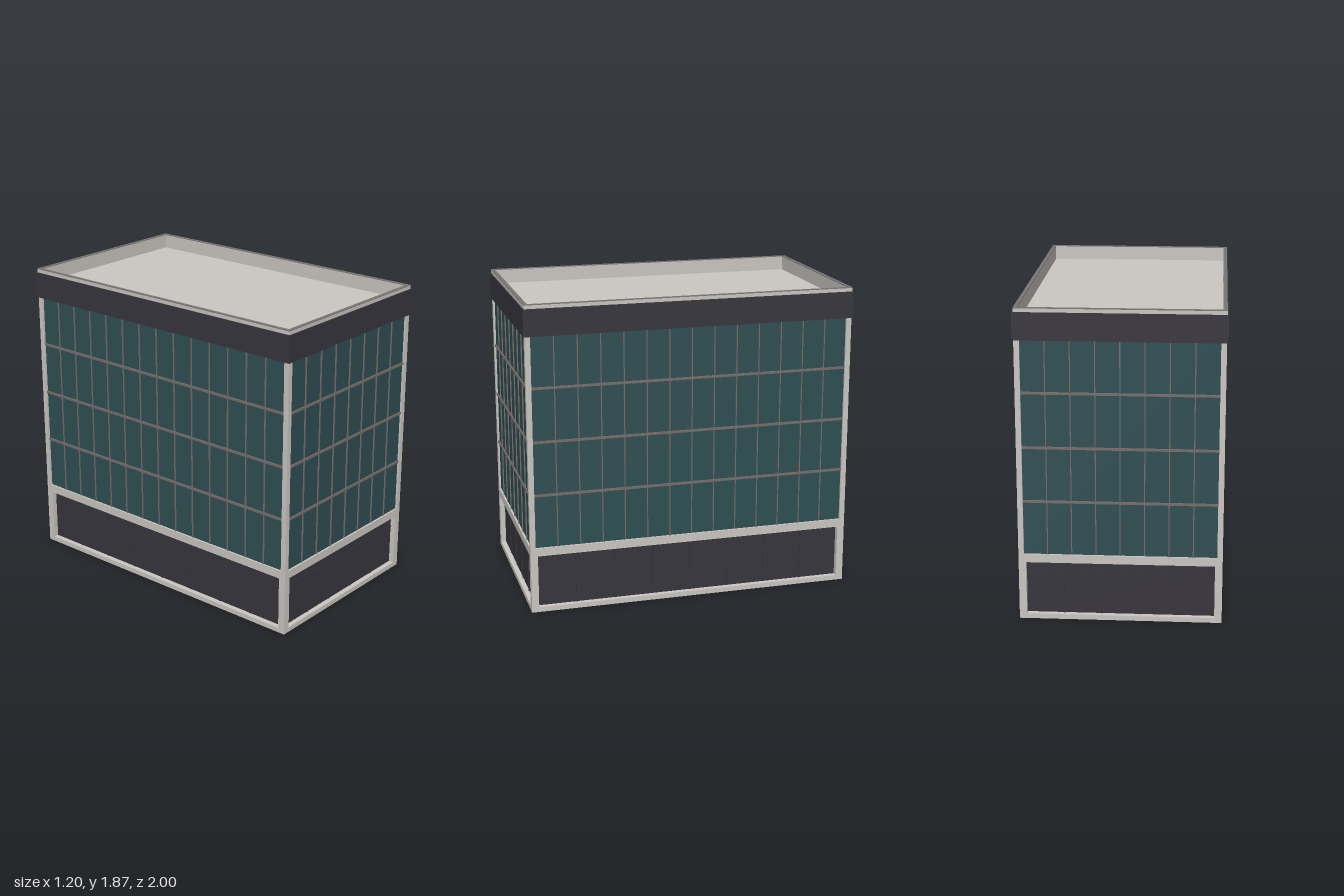
import * as THREE from 'three';

const mat = (name, color) => Object.assign(new THREE.MeshStandardMaterial({ color }), { name });

export function createModel() {
  const concrete = mat('concrete', 0xcac6c1);
  const charcoal = mat('charcoal panel', 0x37353d);
  const glass = mat('teal glass', 0x2e4e52);
  const bronze = mat('bronze mullion', 0x776d6a);
  const coping = mat('grey coping', 0x777674);

  const building = new THREE.Group();
  building.name = 'officeBuilding';

  // Box given by its size and centre
  const box = (parent, name, material, w, h, d, x, y, z) => {
    const mesh = new THREE.Mesh(new THREE.BoxGeometry(w, h, d), material);
    mesh.position.set(x, y, z);
    mesh.name = name;
    parent.add(mesh);
    return mesh;
  };

  const HX = 0.594, HZ = 0.992;      // half extents of the concrete body
  const BASE = 0.405, EAVE = 1.69, ROOF = 1.78, TOP = 1.87;

  // One wall facing +z: half width hw, outer face at z = d
  const makeWall = (name, hw, d, bays, shopBays) => {
    const wall = new THREE.Group();
    wall.name = name;

    // Ground floor frame with one wide opening
    const ow = hw - 0.044, lo = 0.03, hi = 0.355;
    const shape = new THREE.Shape([
      new THREE.Vector2(-hw, 0), new THREE.Vector2(hw, 0),
      new THREE.Vector2(hw, BASE), new THREE.Vector2(-hw, BASE),
    ]);
    shape.holes.push(new THREE.Path([
      new THREE.Vector2(-ow, lo), new THREE.Vector2(-ow, hi),
      new THREE.Vector2(ow, hi), new THREE.Vector2(ow, lo),
    ]));
    const frame = new THREE.Mesh(
      new THREE.ExtrudeGeometry(shape, { depth: 0.032, bevelEnabled: false }), concrete);
    frame.position.z = d - 0.032;
    frame.name = 'baseFrame';
    wall.add(frame);

    // Recessed dark shopfront with slim bars
    box(wall, 'shopfront', charcoal, 2 * hw - 0.066, 0.38, 0.008, 0, 0.195, d - 0.036);
    for (let i = 1; i < shopBays; i++) {
      const x = -ow + (2 * ow * i) / shopBays;
      box(wall, 'shopfrontBar', charcoal, 0.008, hi - lo, 0.006, x, (lo + hi) / 2, d - 0.03);
    }
    box(wall, 'shopfrontTransom', charcoal, 2 * ow, 0.008, 0.006, 0, 0.28, d - 0.03);

    // Curtain wall glass
    const gw = hw - 0.03;
    box(wall, 'glass', glass, 2 * gw, EAVE - BASE + 0.04, 0.01, 0, (EAVE + BASE) / 2, d - 0.017);

    // Mullions and floor lines
    for (let i = 1; i < bays; i++) {
      const x = -gw + (2 * gw * i) / bays;
      box(wall, 'mullion', bronze, 0.006, EAVE - BASE, 0.008, x, (EAVE + BASE) / 2, d - 0.009);
    }
    for (const y of [0.73, 1.055, 1.378]) {
      box(wall, 'floorLine', bronze, 2 * gw, 0.014, 0.01, 0, y, d - 0.008);
    }

    // Parapet, fascia band and coping strip
    box(wall, 'parapet', concrete, 2 * hw, TOP - 0.004 - EAVE, 0.022, 0, (TOP - 0.004 + EAVE) / 2, d - 0.011);
    box(wall, 'fasciaBand', charcoal, 2 * hw + 0.015, 0.16, 0.0075, 0, 1.765, d + 0.00375);
    box(wall, 'coping', coping, 2 * hw, 0.004, 0.022, 0, TOP - 0.002, d - 0.011);
    return wall;
  };

  // Four walls: front and back, then the two long sides
  const walls = [
    ['frontWall', HX, HZ, 8, 5], ['leftWall', HZ, HX, 14, 8],
    ['backWall', HX, HZ, 8, 5], ['rightWall', HZ, HX, 14, 8],
  ];
  walls.forEach((args, i) => {
    const wall = makeWall(...args);
    wall.rotation.y = (i * Math.PI) / 2;
    building.add(wall);
  });

  // Corner posts
  for (const sx of [-1, 1]) for (const sz of [-1, 1]) {
    box(building, 'cornerPost', concrete, 0.032, 1.75, 0.032,
      sx * (HX - 0.016), 0.875, sz * (HZ - 0.016));
  }

  // Sunken roof deck
  box(building, 'roofDeck', concrete, 2 * HX - 0.03, 0.04, 2 * HZ - 0.03, 0, ROOF - 0.02, 0);

  return building;
}
